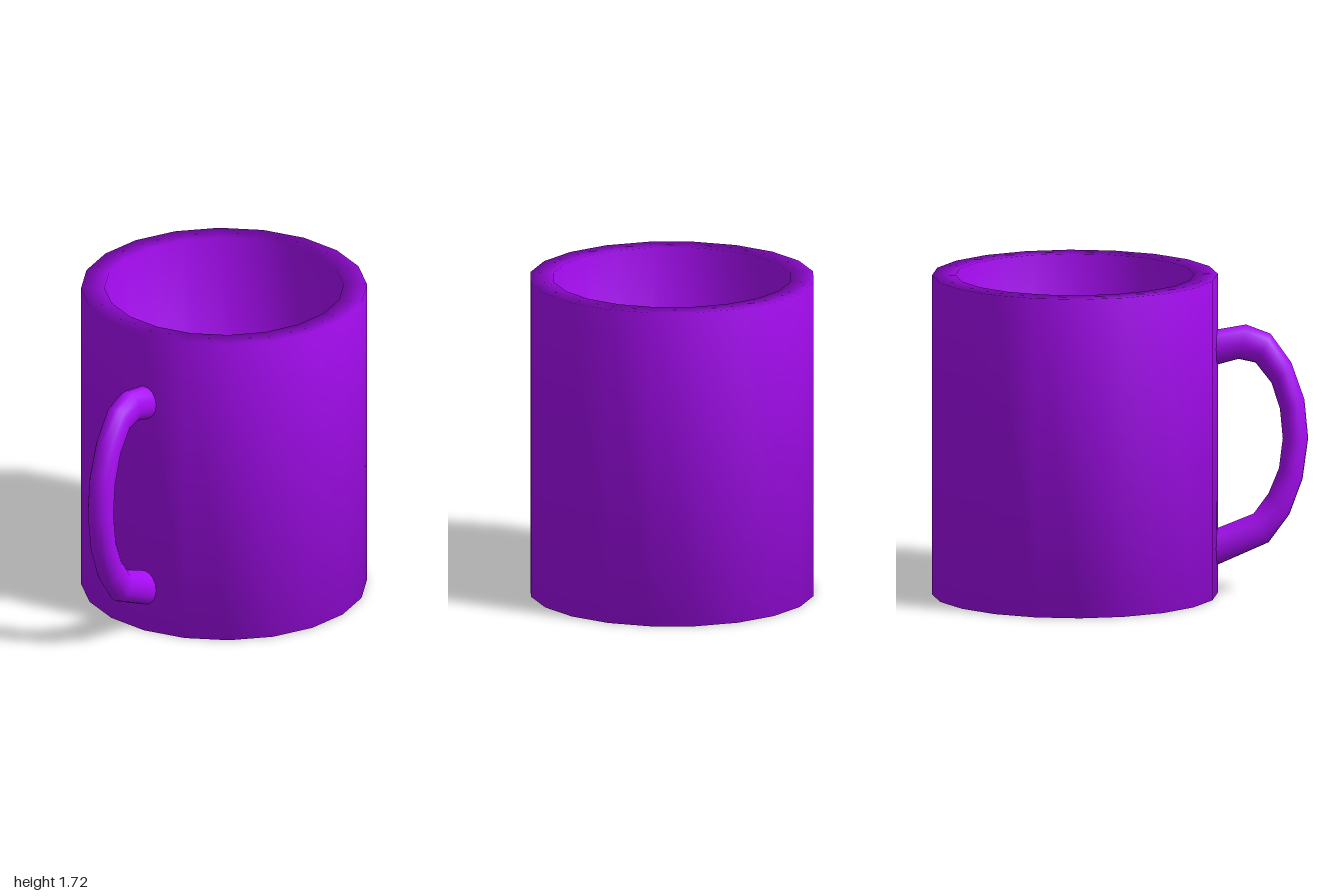
import * as THREE from 'three';

const material = new THREE.MeshStandardMaterial({ color: 0xa80cf5 });

// Loop of rounded cross-sections, each spanning an outer and an inner point [z, y]
function handleGeometry(sections, halfWidth, sides) {
  const positions = [], index = [];
  sections.forEach(([zo, yo, zi, yi], i) => {
    for (let j = 0; j < sides; j++) {
      const a = (j / sides) * Math.PI * 2, c = Math.cos(a);
      positions.push(
        halfWidth * Math.sin(a),
        (yo + yi) / 2 + (c * (yo - yi)) / 2,
        (zo + zi) / 2 + (c * (zo - zi)) / 2
      );
      if (i === sections.length - 1) continue;
      const k = (j + 1) % sides, p = i * sides, q = p + sides;
      index.push(p + j, q + j, p + k, p + k, q + j, q + k);
    }
  });
  const geometry = new THREE.BufferGeometry();
  geometry.setAttribute('position', new THREE.Float32BufferAttribute(positions, 3));
  geometry.setIndex(index);
  geometry.computeVertexNormals();
  return geometry;
}

export function createModel() {
  const mug = new THREE.Group();
  mug.name = 'mug';

  // Cup: base, outer wall, flat rim, inner wall and floor in one turned profile
  const profile = [[0, 0], [0.76, 0], [0.76, 1.72], [0.635, 1.72], [0.635, 0.13], [0, 0.13]];
  const cup = new THREE.Mesh(
    new THREE.LatheGeometry(profile.map(([r, y]) => new THREE.Vector2(r, y)), 20),
    material
  );
  cup.name = 'cup';
  cup.position.z = -0.24;
  mug.add(cup);

  // Handle: thicker where it enters the wall, with its ends buried inside it
  const sections = [
    [0.46, 1.41, 0.46, 1.215],
    [0.67, 1.445, 0.63, 1.26],
    [0.8, 1.395, 0.72, 1.24],
    [0.91, 1.24, 0.805, 1.13],
    [0.98, 1.04, 0.85, 0.99],
    [1.0, 0.83, 0.865, 0.83],
    [0.97, 0.61, 0.845, 0.67],
    [0.9, 0.42, 0.79, 0.535],
    [0.79, 0.27, 0.71, 0.425],
    [0.46, 0.125, 0.46, 0.325],
  ];
  const handle = new THREE.Mesh(handleGeometry(sections, 0.07, 16), material);
  handle.name = 'handle';
  mug.add(handle);

  return mug;
}
